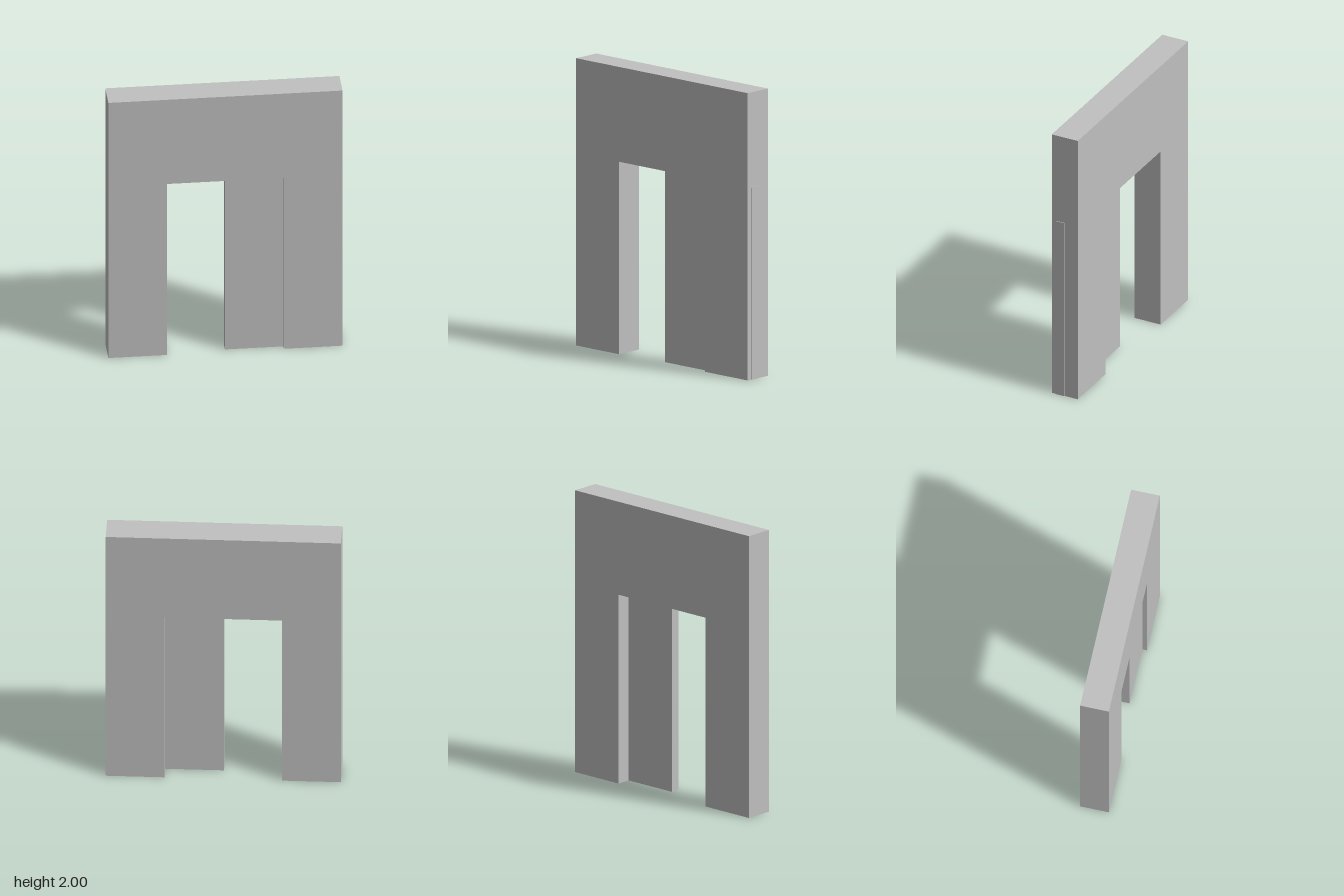
import * as THREE from 'three';

const grey = new THREE.MeshStandardMaterial({ color: 0xc0c0c0, side: THREE.DoubleSide });
grey.name = 'light grey';

const HEIGHT = 2, HALF_DEPTH = 0.1;
const LEFT = 0.7975, RIGHT = -0.8025;          // outer ends of the wall
const MID = (LEFT + RIGHT) / 2;
const OPEN_TOP = 1.34, OPEN_HALF = 0.4, LINING = 0.133;

// Inverted U from floor to floor, listed as [x, y] points
const arch = (half, top) => [
  [MID + half, 0], [MID + half, top], [MID - half, top], [MID - half, 0],
];

// Sweep an open outline through the thickness of the wall
function sweep(points) {
  const pos = [];
  for (let i = 0; i < points.length - 1; i++) {
    const [ax, ay] = points[i], [bx, by] = points[i + 1];
    const a = [ax, ay, HALF_DEPTH], b = [bx, by, HALF_DEPTH];
    const c = [bx, by, -HALF_DEPTH], d = [ax, ay, -HALF_DEPTH];
    pos.push(...a, ...d, ...c, ...a, ...c, ...b);
  }
  const geo = new THREE.BufferGeometry();
  geo.setAttribute('position', new THREE.Float32BufferAttribute(pos, 3));
  geo.computeVertexNormals();
  return geo;
}

export function createModel() {
  const model = new THREE.Group();
  model.name = 'wallWithSlidingDoor';
  const add = (name, geo) => {
    const mesh = new THREE.Mesh(geo, grey);
    mesh.name = name;
    model.add(mesh);
    return mesh;
  };

  // Wall faces: inverted U, front and back
  const outer = arch((LEFT - RIGHT) / 2, HEIGHT);
  const inner = arch(OPEN_HALF, OPEN_TOP);
  const outline = [...outer, ...[...inner].reverse()];
  const face = new THREE.ShapeGeometry(
    new THREE.Shape(outline.map(([x, y]) => new THREE.Vector2(x, y))));
  add('wallFront', face).position.z = HALF_DEPTH;
  const back = face.clone();
  back.rotateY(Math.PI).translate(2 * MID, 0, -HALF_DEPTH);
  add('wallBack', back);

  // Ends and top, then the doorway reveal; the feet stay open below
  add('wallEndsAndTop', sweep(outer));
  add('doorwayReveal', sweep([...inner].reverse()));

  // Partition inside the hollow wall, around the doorway
  add('innerLining', sweep(arch(OPEN_HALF + LINING, OPEN_TOP + LINING)));

  // Half-open door, running into the wall and just past its left end
  const doorWidth = 0.805, doorDepth = 0.067;
  const door = add('slidingDoor', new THREE.BoxGeometry(doorWidth, OPEN_TOP, doorDepth));
  door.position.set(0.8025 - doorWidth / 2, OPEN_TOP / 2, doorDepth / 2);

  return model;
}
